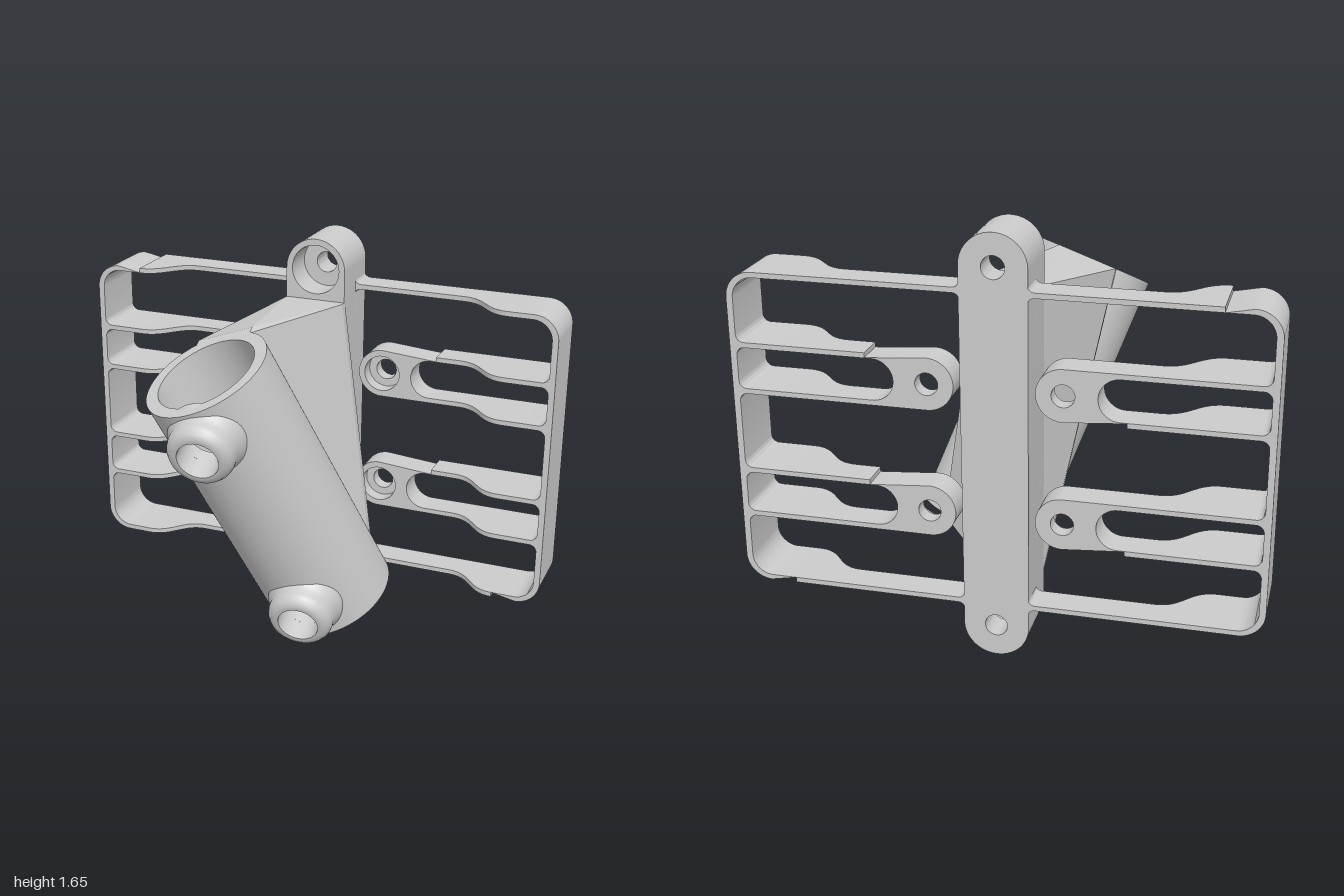
import * as THREE from 'three';
import { toCreasedNormals } from 'three/addons/utils/BufferGeometryUtils.js';
import { ConvexGeometry } from 'three/addons/geometries/ConvexGeometry.js';

const material = new THREE.MeshStandardMaterial({ color: 0xcccccc });
const BACK = -0.63, LOW = -0.51, FRONT = -0.38; // depths of the mount plate
const MID = 0.825;                              // middle height of the plate

function add(parent, name, geometry) {
  const mesh = new THREE.Mesh(geometry, material);
  mesh.name = name;
  parent.add(mesh);
  return mesh;
}

// Extrudes an x-y shape from depth z0 to z1
function slab(shape, z0, z1) {
  const g = new THREE.ExtrudeGeometry(shape, { depth: z1 - z0, bevelEnabled: false, curveSegments: 20 });
  return toCreasedNormals(g.translate(0, 0, z0), 0.5);
}

function drill(shape, x, y, r) {
  shape.holes.push(new THREE.Path().absarc(x, y, r, 0, Math.PI * 2, true));
  return shape;
}

// Upright spine with a counterbored hole at each end
function buildSpine(root) {
  const r = 0.125, top = 2 * MID - r;
  for (const [name, z0, z1, hole] of [['spineBack', BACK, LOW, 0.043], ['spineFront', LOW, FRONT, 0.1]]) {
    const s = new THREE.Shape();
    s.absarc(0, top, r, 0, Math.PI, false);
    s.absarc(0, r, r, Math.PI, Math.PI * 2, false);
    drill(drill(s, 0, top, hole), 0, r, hole);
    add(root, name, slab(s, z0, z1));
  }
}

// Full-depth outer end of the frame, with rounded notches between the bars
function endWall() {
  const x0 = 0.8, x1 = 1, xi = 0.975, lo = MID - 0.62, hi = MID + 0.62, R = 0.1;
  const s = new THREE.Shape();
  s.moveTo(x0, lo);
  s.absarc(x1 - R, lo + R, R, -Math.PI / 2, 0, false);
  s.absarc(x1 - R, hi - R, R, 0, Math.PI / 2, false);
  s.lineTo(x0, hi);
  const cells = [[1.425, 1.175, 0.08, 0.03], [1.155, 0.995, 0.03, 0.03], [0.975, 0.675, 0.03, 0.03],
    [0.655, 0.495, 0.03, 0.03], [0.475, 0.225, 0.03, 0.08]];
  for (const [a, b, ra, rb] of cells) {
    s.lineTo(x0, a);
    s.absarc(xi - ra, a - ra, ra, Math.PI / 2, 0, true);
    s.absarc(xi - rb, b + rb, rb, 0, -Math.PI / 2, true);
    s.lineTo(x0, b);
  }
  return slab(s, BACK, FRONT);
}

// Thin bar whose front edge sweeps from shallow to full depth
function bar(xStart, yTop) {
  const s = new THREE.Shape();
  s.moveTo(xStart, BACK);
  s.lineTo(0.8, BACK);
  s.lineTo(0.8, FRONT);
  s.bezierCurveTo(0.69, FRONT, 0.69, LOW, 0.58, LOW);
  s.lineTo(xStart, LOW);
  return slab(s, 0, 0.02).rotateX(Math.PI / 2).translate(0, yTop, 0);
}

// Rounded screw tab with an open slot towards the outside
function tab(y, hole, z0, z1) {
  const s = new THREE.Shape();
  s.moveTo(0.5, y + 0.1);
  s.absarc(0.25, y, 0.1, Math.PI / 2, Math.PI * 1.5, false);
  s.lineTo(0.5, y - 0.1);
  s.lineTo(0.5, y - 0.08);
  s.absarc(0.455, y, 0.08, Math.PI * 1.5, Math.PI / 2, true);
  s.lineTo(0.5, y + 0.08);
  return slab(drill(s, 0.25, y, hole), z0, z1);
}

// Small fillet where a bar meets the spine
function fillet(y, dir) {
  const x = 0.122, f = 0.03;
  const s = new THREE.Shape();
  s.moveTo(x, y);
  s.lineTo(x + f, y);
  s.quadraticCurveTo(x, y, x, y + dir * f);
  return slab(s, BACK, LOW);
}

function buildFrameHalf() {
  const half = new THREE.Group();
  add(half, 'endWall', endWall());
  for (const yTop of [1.445, 0.225]) {
    add(half, 'outerBar', bar(0.11, yTop));
    add(half, 'barFillet', fillet(yTop, 1));
    add(half, 'barFillet', fillet(yTop - 0.02, -1));
  }
  for (const y of [1.075, 0.575]) {
    add(half, 'tabBack', tab(y, 0.043, BACK, -0.57));
    add(half, 'tabFront', tab(y, 0.075, -0.57, LOW));
    add(half, 'ribUpper', bar(0.48, y + 0.1));
    add(half, 'ribLower', bar(0.48, y - 0.08));
  }
  return half;
}

// Cylinder wall pierced at the front by round holes at the given heights
function piercedWall(R, length, heights, holeR, inward) {
  const n = 144, pos = [], normals = [], index = [];
  const rows = 2 + heights.length * 2, sign = inward ? -1 : 1;
  for (let i = 0; i <= n; i++) {
    const t = (i / n) * Math.PI * 2, sx = Math.sin(t), cz = Math.cos(t);
    const gap = cz > 0 ? Math.sqrt(Math.max(0, holeR ** 2 - (R * sx) ** 2)) : 0;
    for (const y of [0, ...heights.flatMap((h) => [h - gap, h + gap]), length]) {
      pos.push(R * sx, y, R * cz);
      normals.push(sign * sx, 0, sign * cz);
    }
    if (i === n) break;
    for (let j = 0; j < rows; j += 2) {
      const a = i * rows + j, b = a + rows;
      if (inward) index.push(a, b + 1, b, a, a + 1, b + 1);
      else index.push(a, b, b + 1, a, b + 1, a + 1);
    }
  }
  const g = new THREE.BufferGeometry();
  g.setAttribute('position', new THREE.Float32BufferAttribute(pos, 3));
  g.setAttribute('normal', new THREE.Float32BufferAttribute(normals, 3));
  g.setIndex(index);
  return g;
}

// Slanted socket: open tube with two screw bosses on its front
function buildSocket(bottom, top) {
  const socket = new THREE.Group();
  socket.name = 'socket';
  const axis = top.clone().sub(bottom), length = axis.length();
  axis.normalize();
  const out = new THREE.Vector3(0, 0, 1).addScaledVector(axis, -axis.z).normalize();
  const side = axis.clone().cross(out);
  socket.quaternion.setFromRotationMatrix(new THREE.Matrix4().makeBasis(side, axis, out));
  socket.position.copy(bottom);
  socket.updateMatrix();

  const R = 0.25, r = 0.2, bore = 0.08, heights = [0.148, length - 0.148];
  add(socket, 'tubeOutside', piercedWall(R, length, heights, bore, false));
  add(socket, 'tubeBore', piercedWall(r, length, heights, bore, true));
  add(socket, 'tubeTopRim', new THREE.RingGeometry(r, R, 144).rotateX(-Math.PI / 2).translate(0, length, 0));
  add(socket, 'tubeBottomRim', new THREE.RingGeometry(r, R, 144).rotateX(Math.PI / 2));

  const profile = [[0.155, 0.19], [0.148, 0.225], [0.136, 0.245], [0.13, 0.265], [0.13, 0.285], [0.126, 0.303],
    [0.115, 0.32], [0.1, 0.329], [0.09, 0.331], [bore, 0.331], [bore, 0.187]].map((p) => new THREE.Vector2(...p));
  for (const h of heights) {
    const g = new THREE.LatheGeometry(profile, 48).rotateX(Math.PI / 2).translate(0, h, 0);
    add(socket, 'screwBoss', toCreasedNormals(g, 0.7));
  }
  return { socket, length };
}

// Web joining a strip along the tube's back to the spine
function buildWeb(root, socket, length) {
  const points = [];
  for (const x of [-0.12, 0.12]) {
    for (const y of [0, length]) {
      for (const z of [-0.212, -0.25]) points.push(new THREE.Vector3(x, y, z).applyMatrix4(socket.matrix));
    }
  }
  for (const x of [-0.124, 0.124]) {
    for (const y of [0.25, 1.4]) {
      for (const z of [-0.39, -0.36]) points.push(new THREE.Vector3(x, y, z));
    }
  }
  add(root, 'supportWeb', toCreasedNormals(new ConvexGeometry(points), 0.2));
}

export function createModel() {
  const root = new THREE.Group();
  root.name = 'mountingBracket';
  buildSpine(root);

  const left = buildFrameHalf();
  left.name = 'frameLeft';
  // The plate has half-turn symmetry about its middle
  const right = buildFrameHalf();
  right.name = 'frameRight';
  right.rotation.z = Math.PI;
  right.position.y = 2 * MID;
  root.add(left, right);

  const { socket, length } = buildSocket(new THREE.Vector3(0.215, 0.27, -0.06), new THREE.Vector3(-0.155, 1.295, 0.33));
  root.add(socket);
  buildWeb(root, socket, length);
  return root;
}
